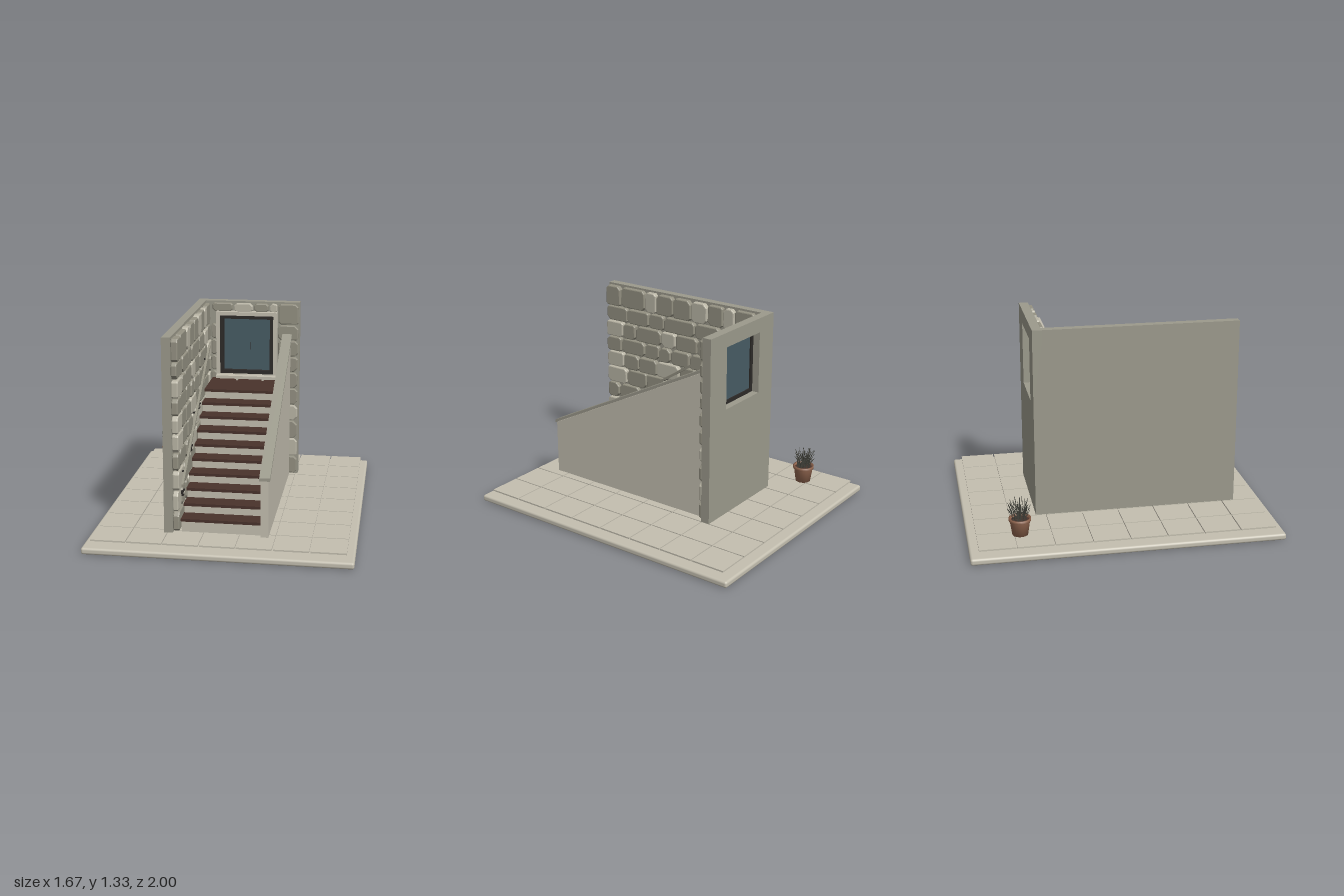
import * as THREE from 'three';
import { RoundedBoxGeometry } from 'three/addons/geometries/RoundedBoxGeometry.js';

const mat = (name, color) => {
  const m = new THREE.MeshStandardMaterial({ color });
  m.name = name;
  return m;
};

export function createModel() {
  const root = new THREE.Group();
  root.name = 'outdoorStairs';
  const plaster = mat('plaster', 0xc4bfb0);
  const concrete = mat('concrete', 0x9c9a8c);
  const stoneDark = mat('darkStone', 0x949182);
  const stoneLight = mat('lightStone', 0xbab6a6);
  const wood = mat('darkWood', 0x49322b);
  const black = mat('blackFrame', 0x2d2a28);
  const glass = mat('glass', 0x475c64);
  const clay = mat('terracotta', 0x936750);
  const leaf = mat('dryGrass', 0x4b4b43);
  leaf.side = THREE.DoubleSide;

  let seed = 7;
  const rand = (a = 0, b = 1) => {
    seed = (seed * 16807) % 2147483647;
    return a + (b - a) * (seed / 2147483647);
  };
  const group = (name, parent = root) => {
    const g = new THREE.Group();
    g.name = name;
    parent.add(g);
    return g;
  };
  const add = (name, geo, material, parent = root) => {
    const m = new THREE.Mesh(geo, material);
    m.name = name;
    parent.add(m);
    return m;
  };
  // Box from its lower and upper limits on each axis
  const box = (name, x0, x1, y0, y1, z0, z1, material, parent = root) => {
    const m = add(name, new THREE.BoxGeometry(x1 - x0, y1 - y0, z1 - z0), material, parent);
    m.position.set((x0 + x1) / 2, (y0 + y1) / 2, (z0 + z1) / 2);
    return m;
  };
  // Side profile given as [z, y] points, extruded along x from x0 to x1
  const sideExtrude = (name, pts, x0, x1, material, parent = root) => {
    const shape = new THREE.Shape(pts.map(([z, y]) => new THREE.Vector2(-z, y)));
    const geo = new THREE.ExtrudeGeometry(shape, { depth: x1 - x0, bevelEnabled: false });
    geo.rotateY(Math.PI / 2);
    geo.translate(x0, 0, 0);
    return add(name, geo, material, parent);
  };

  // Ground slab and paving
  const slab = add('groundSlab', new RoundedBoxGeometry(1.67, 0.043, 2, 2, 0.015), plaster);
  slab.position.y = 0.0215;
  const paving = group('paving');
  const px = 1.58 / 7, pz = 1.895 / 8, gap = 0.004;
  for (let i = 0; i < 7; i++) for (let j = 0; j < 8; j++) {
    const x = -0.79 + i * px, z = -0.9475 + j * pz;
    box('pavingTile', x + gap, x + px - gap, 0.07, 0.08, z + gap, z + pz - gap, plaster, paving);
  }

  // Side wall, and back wall around the window opening
  box('sideWall', -0.355, -0.3, 0.09, 1.325, -0.48, 0.785, concrete);
  const back = group('backWall');
  box('wallBelowWindow', -0.355, 0.355, 0.09, 0.82, -0.54, -0.48, concrete, back);
  box('lintel', -0.355, 0.355, 1.23, 1.325, -0.54, -0.48, concrete, back);
  box('rightJamb', -0.355, -0.195, 0.82, 1.23, -0.54, -0.48, concrete, back);
  box('leftJamb', 0.178, 0.355, 0.82, 1.23, -0.54, -0.48, concrete, back);

  // One chamfered facing stone with slightly uneven corners
  const stone = (u0, u1, v0, v1, depth, material, parent) => {
    const b = 0.007, g = 0.004 + b;
    const a = u0 + g, c = u1 - g, d = v0 + g, e = v1 - g;
    if (c - a < 0.008 || e - d < 0.008) return;
    const k = () => Math.min(rand(0.005, 0.024), (c - a) / 3, (e - d) / 3);
    const [k1, k2, k3, k4] = [k(), k(), k(), k()];
    const shape = new THREE.Shape([
      [a + k1, d], [c - k2, d], [c, d + k2], [c, e - k3],
      [c - k3, e], [a + k4, e], [a, e - k4], [a, d + k1],
    ].map(([x, y]) => new THREE.Vector2(x, y)));
    const geo = new THREE.ExtrudeGeometry(shape, {
      depth: depth - 2 * b, bevelSize: b, bevelThickness: b, bevelSegments: 2,
    });
    geo.translate(0, 0, b);
    add('facingStone', geo, material, parent);
  };

  // Stone facing on the side wall: joints run from front to back in each course
  const courses = [1.318, 1.17, 1.06, 0.945, 0.835, 0.72, 0.6, 0.485, 0.355, 0.225, 0.095];
  const joints = [
    [0.655, 0.445, 0.345, 0.2, 0.05, -0.08, -0.205],
    [0.6, 0.41, 0.28, 0.02, -0.18, -0.31],
    [0.635, 0.525, 0.3, 0.18, 0, -0.2],
    [0.655, 0.45, 0.325, 0.22, 0.06],
    [0.635, 0.5, 0.34, 0.15],
    [0.61, 0.435],
    [0.68, 0.5],
  ];
  const lightOnes = [[2, 5, 7], [5], [0, 3], [], [0, 3], [0], []];
  const sideStones = group('sideWallStones');
  sideStones.rotation.y = Math.PI / 2;
  sideStones.position.x = -0.3;
  for (let r = 0; r < 10; r++) {
    const cuts = [0.785, ...(joints[r] || [])];
    let z = cuts[cuts.length - 1];
    while (z > -0.28) cuts.push((z -= rand(0.09, 0.2)));
    cuts.push(-0.455);
    const lights = lightOnes[r];
    for (let i = 0; i + 1 < cuts.length; i++) {
      const known = lights && i <= joints[r].length;
      const light = known ? lights.includes(i) : rand() < 0.25;
      stone(-cuts[i], -cuts[i + 1], courses[r + 1], courses[r],
        rand(0.034, 0.044), light ? stoneLight : stoneDark, sideStones);
    }
  }

  // Stone facing on the back wall: a strip above the window and a column at each side
  const backStones = group('backWallStones');
  backStones.position.z = -0.48;
  [-0.255, -0.105, 0.035, 0.145, 0.205, 0.352].forEach((x, i, xs) => {
    if (i < 5) stone(x, xs[i + 1], i === 4 ? 1.17 : 1.25, 1.318, 0.026, i % 2 ? stoneLight : stoneDark, backStones);
  });
  for (let r = 1; r < 10; r++) {
    const split = r % 2 ? 0.205 : 0.255;
    const m = r === 6 || r === 8 ? stoneLight : stoneDark;
    stone(split, 0.352, courses[r + 1], courses[r], 0.026, m, backStones);
    if (split > 0.21) stone(0.205, split, courses[r + 1], courses[r], 0.024, stoneDark, backStones);
    stone(-0.265, -0.218, courses[r + 1], courses[r], 0.024, stoneDark, backStones);
  }

  // Stairs: closed risers with overhanging wooden treads, the last one a landing
  const stairs = group('stairs');
  const rise = 0.067, run = 0.0985;
  for (let i = 0; i < 10; i++) {
    const top = 0.18 + i * rise, front = 0.772 - i * run;
    const end = i === 9 ? -0.453 : front - run - 0.02;
    box('riser', -0.25, 0.244, i ? top - rise : 0.09, top - 0.018, -0.453, front - 0.018, plaster, stairs);
    box('tread', -0.252, 0.244, top - 0.018, top, end, front, wood, stairs);
  }

  // Sloping side wall with its coping
  sideExtrude('slopingWall', [[0.785, 0.09], [-0.455, 0.09], [-0.455, 1.085], [0.785, 0.455]], 0.247, 0.296, plaster);
  sideExtrude('coping', [[0.79, 0.455], [-0.46, 1.09], [-0.46, 1.11], [0.79, 0.475]], 0.238, 0.305, concrete);

  // Handrail, its brackets and the step lights
  sideExtrude('handrail', [[0.77, 0.385], [-0.25, 1.045], [-0.25, 1.065], [0.77, 0.405]], -0.246, -0.232, stoneDark);
  for (const t of [0.1, 0.5, 0.9]) {
    const z = 0.77 - 1.02 * t, y = 0.39 + 0.66 * t;
    box('railBracket', -0.3, -0.24, y - 0.005, y + 0.005, z - 0.005, z + 0.005, black);
  }
  for (const i of [1, 4, 7]) {
    const z = 0.65 - (i - 1) * run, y = 0.31 + (i - 1) * rise;
    box('stepLight', -0.29, -0.252, y - 0.016, y + 0.016, z - 0.026, z + 0.026, black);
    box('stepLightLens', -0.254, -0.249, y - 0.007, y + 0.007, z - 0.015, z + 0.015, stoneLight);
  }

  // Window: outer surround, dark sash, glass, handle and sill
  const win = group('window');
  const ring = (name, x0, x1, y0, y1, w, z0, z1, m) => {
    const s = new THREE.Shape([[x0, y0], [x1, y0], [x1, y1], [x0, y1]].map((p) => new THREE.Vector2(...p)));
    s.holes.push(new THREE.Path([[x0 + w, y0 + w], [x0 + w, y1 - w], [x1 - w, y1 - w], [x1 - w, y0 + w]]
      .map((p) => new THREE.Vector2(...p))));
    const geo = new THREE.ExtrudeGeometry(s, { depth: z1 - z0, bevelEnabled: false });
    geo.translate(0, 0, z0);
    add(name, geo, m, win);
  };
  ring('surround', -0.22, 0.203, 0.795, 1.258, 0.025, -0.482, -0.42, plaster);
  ring('sash', -0.196, 0.179, 0.819, 1.234, 0.026, -0.492, -0.435, black);
  box('pane', -0.172, 0.155, 0.843, 1.21, -0.482, -0.465, glass, win);
  box('handle', 0.014, 0.018, 0.99, 1.04, -0.466, -0.46, black, win);
  box('sill', -0.215, 0.203, 0.797, 0.817, -0.45, -0.37, plaster, win);
  for (const x of [-0.07, 0.11]) box('sillBracket', x - 0.006, x + 0.006, 0.78, 0.797, -0.44, -0.385, plaster, win);

  // Potted grass
  const plant = group('pottedGrass');
  plant.position.set(-0.6, 0.08, -0.67);
  const profile = [[0, 0], [0.05, 0], [0.064, 0.092], [0.07, 0.094], [0.071, 0.112], [0.06, 0.112], [0.058, 0.095]];
  add('pot', new THREE.LatheGeometry(profile.map((p) => new THREE.Vector2(...p)), 24), clay, plant);
  const soil = add('soil', new THREE.CircleGeometry(0.06, 20), wood, plant);
  soil.rotation.x = -Math.PI / 2;
  soil.position.y = 0.098;
  for (let i = 0; i < 80; i++) {
    const a = rand(0, Math.PI * 2), r = 0.045 * Math.sqrt(rand()), out = rand(0.005, 0.045), h = rand(0.07, 0.135);
    const at = (d, y) => new THREE.Vector3(Math.cos(a) * d, y, Math.sin(a) * d);
    const curve = new THREE.QuadraticBezierCurve3(at(r, 0.095), at(r + out * 0.2, 0.095 + h * 0.6), at(r + out, 0.095 + h));
    add('grassBlade', new THREE.TubeGeometry(curve, 4, 0.0016, 3), leaf, plant);
  }
  return root;
}
